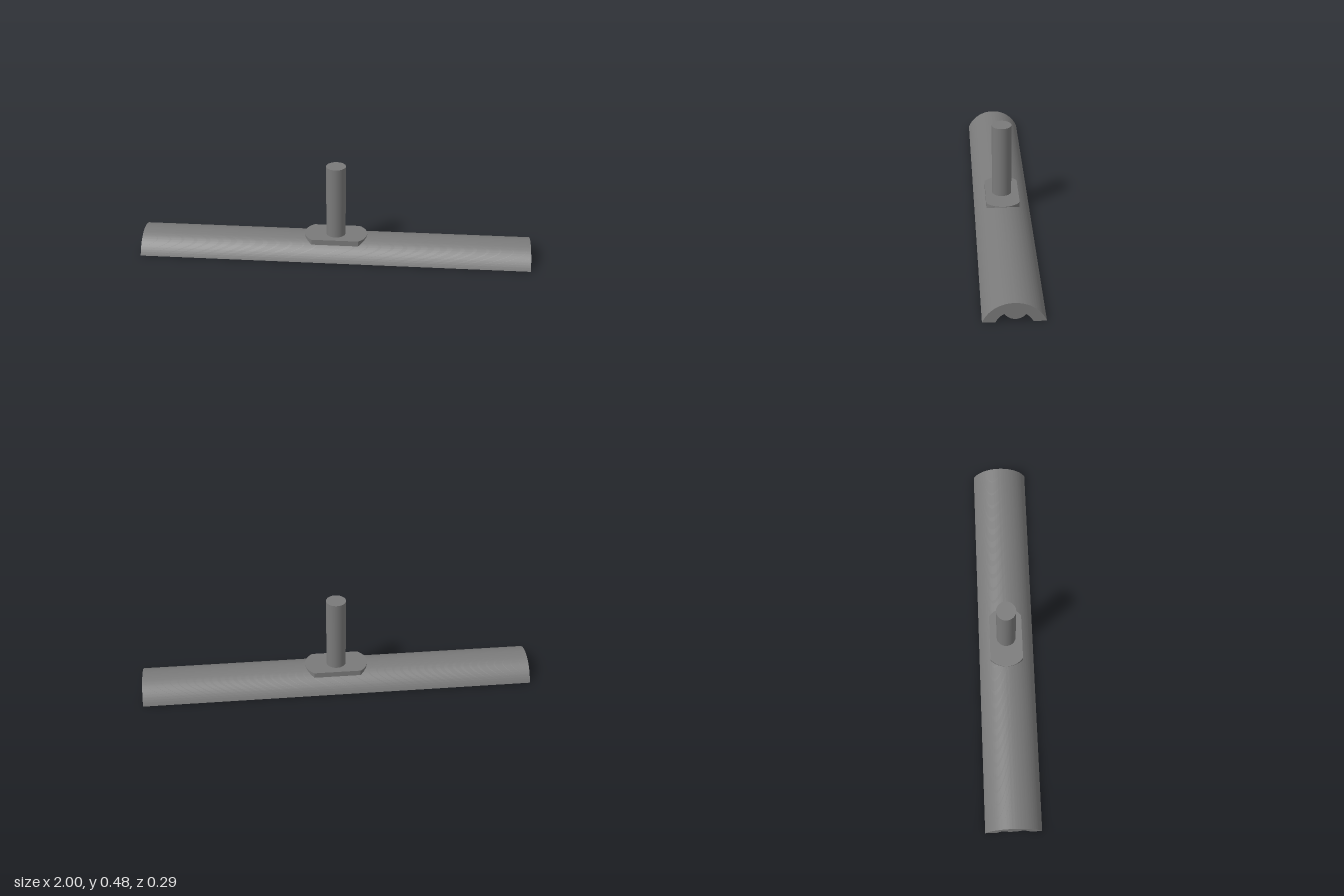
import * as THREE from 'three';
import { toCreasedNormals } from 'three/addons/utils/BufferGeometryUtils.js';

export function createModel() {
  const group = new THREE.Group();
  const material = new THREE.MeshStandardMaterial({ color: 0x7a7a7a });
  const add = (name, geometry) => {
    const mesh = new THREE.Mesh(geometry, material);
    mesh.name = name;
    group.add(mesh);
    return mesh;
  };

  // Long half-round rail: outer arc, hollow underside and a rounded rib inside it
  const outerR = 0.153, outerY = -0.054;
  const innerR = 0.0905, innerY = -0.036;
  const ribX = 0.005, ribY = 0.071, ribR = 0.0565;
  const right = [0.053, 0.0374], left = [-0.043, 0.0436]; // where rib meets hollow
  const a = Math.asin(-outerY / outerR), b = Math.asin(-innerY / innerR);
  const angle = ([x, y], cx, cy) => Math.atan2(y - cy, x - cx);

  const section = new THREE.Shape();
  section.absarc(0, outerY, outerR, Math.PI - a, a, true);
  section.absarc(0, innerY, innerR, b, angle(right, 0, innerY), false);
  section.absarc(ribX, ribY, ribR, angle(right, ribX, ribY), angle(left, ribX, ribY), true);
  section.absarc(0, innerY, innerR, angle(left, 0, innerY), Math.PI - b, false);
  section.closePath();
  const rail = new THREE.ExtrudeGeometry(section, { depth: 2, bevelEnabled: false, curveSegments: 32 });
  rail.translate(0, 0, -1).rotateY(Math.PI / 2);
  add('rail', toCreasedNormals(rail, 0.5));

  // Flat mounting plate with straight sides and bowed ends, sunk into the top of the rail
  const endR = 0.105, endX = 0.057, halfDepth = 0.085;
  const sweep = Math.asin(halfDepth / endR);
  const outline = new THREE.Shape();
  outline.absarc(endX, 0, endR, -sweep, sweep, false);
  outline.absarc(-endX, 0, endR, Math.PI - sweep, Math.PI + sweep, false);
  outline.closePath();
  const plate = new THREE.ExtrudeGeometry(outline, { depth: 0.0415, bevelEnabled: false, curveSegments: 24 });
  plate.rotateX(-Math.PI / 2);
  add('mountingPlate', toCreasedNormals(plate, 0.5)).position.set(0.003, 0.06, 0);

  // Upright round post
  const bottom = 0.09, top = 0.482;
  const post = new THREE.CylinderGeometry(0.05, 0.05, top - bottom, 48);
  add('post', post).position.set(0.003, (top + bottom) / 2, 0.001);

  return group;
}
